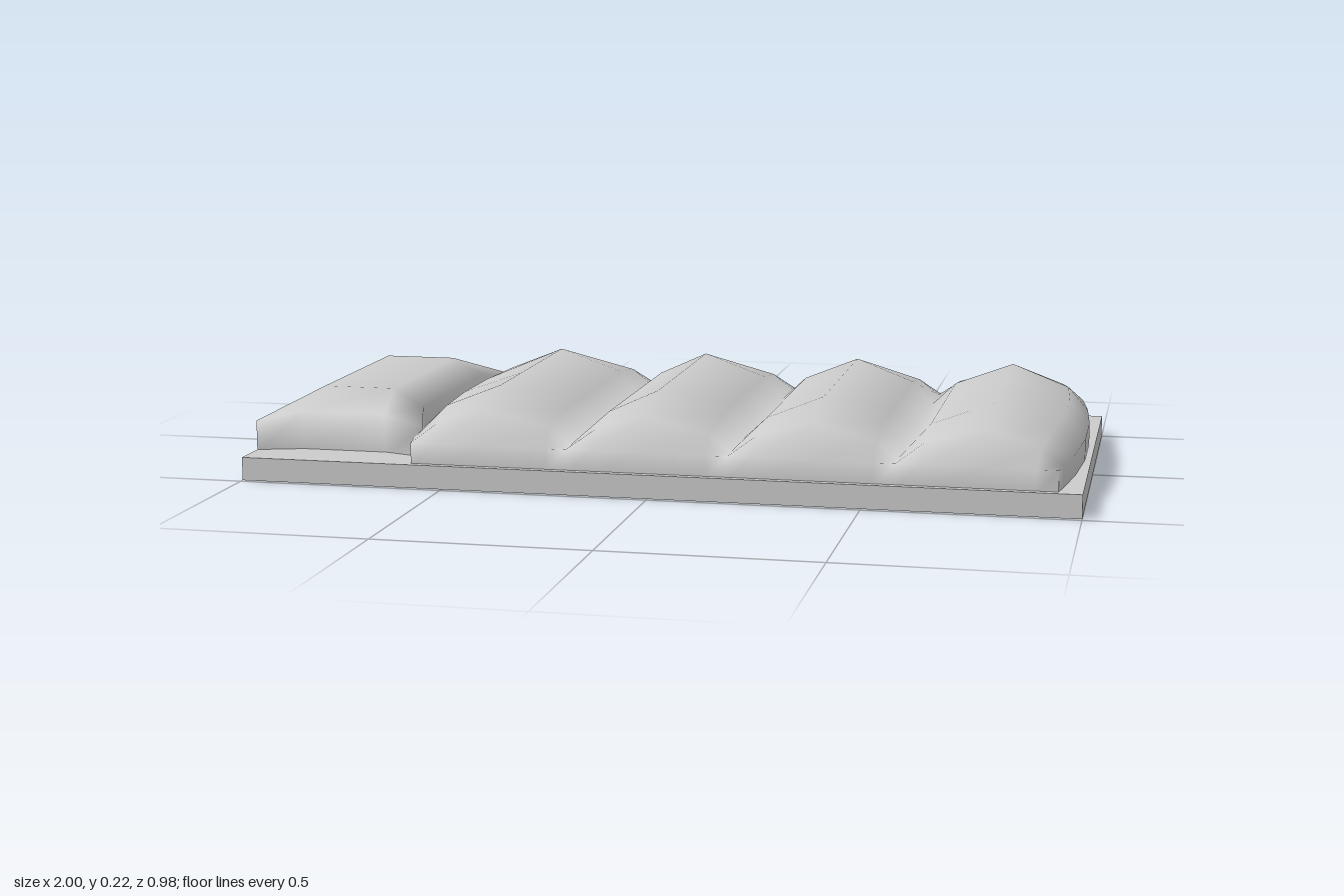
import * as THREE from 'three';

const material = new THREE.MeshStandardMaterial({ color: 0xcccccc, side: THREE.DoubleSide });
const FLOOR = 0.05;

// Smooth cushion: a grid of points point(i, j) with a skirt dropped to FLOOR.
// i runs along x, j runs along z.
function cushion(name, nx, nz, point) {
  const positions = [], index = [];
  const clamp = (v, n) => Math.min(Math.max(v, 0), n - 1);
  for (let i = -1; i <= nx; i++) {
    for (let j = -1; j <= nz; j++) {
      const ci = clamp(i, nx), cj = clamp(j, nz);
      const [x, y, z] = point(ci, cj);
      positions.push(x, ci === i && cj === j ? y : FLOOR, z);
    }
  }
  const w = nz + 2;
  for (let i = 0; i < nx + 1; i++) {
    for (let j = 0; j < nz + 1; j++) {
      const a = i * w + j, b = a + 1, c = a + w, d = c + 1;
      index.push(a, b, c, b, d, c);
    }
  }
  const geometry = new THREE.BufferGeometry();
  geometry.setAttribute('position', new THREE.Float32BufferAttribute(positions, 3));
  geometry.setIndex(index);
  geometry.computeVertexNormals();
  const mesh = new THREE.Mesh(geometry, material);
  mesh.name = name;
  return mesh;
}

// Shallow slab, open underneath
function createBase() {
  const geometry = new THREE.BoxGeometry(2, 0.056, 0.975);
  const faces = Array.from(geometry.index.array);
  faces.splice(18, 6);
  geometry.setIndex(faces);
  geometry.clearGroups();
  geometry.translate(0, 0.028, 0);
  const mesh = new THREE.Mesh(geometry, material);
  mesh.name = 'base';
  return mesh;
}

// Quilt with four padded ridges across the width, bowed at both ends
function createQuilt() {
  const valleys = [-0.58, -0.2, 0.185, 0.575, 0.945];
  const ridges = [-0.41, -0.02, 0.38, 0.78];
  const profile = [];
  ridges.forEach((r, k) => {
    const left = valleys[k], right = valleys[k + 1];
    profile.push([left, 0.108], [left + 0.06, 0.165], [r, 0.22], [right - 0.05, 0.165]);
  });
  profile.push([valleys[4], 0.108]);
  const half = 0.47;
  const rows = [-half, -0.43, -0.285, -0.1, 0.1, 0.285, 0.43, half];
  const fullness = [0, 0.7, 1, 1, 1, 1, 0.7, 0];
  const last = profile.length - 1;
  return cushion('quilt', profile.length, rows.length, (i, j) => {
    const [x, y] = profile[i];
    const z = rows[j];
    const bow = 0.042 * (1 - (z / half) ** 2);
    const pull = i <= 1 ? -1 : i >= last - 1 ? 1 : 0;
    return [x + pull * bow, 0.105 + (y - 0.105) * fullness[j], z];
  });
}

// Pillow with pointed corners and hollowed sides
function createPillow() {
  const cx = -0.7875;
  return cushion('pillow', 4, 4, (i, j) => {
    const sx = i < 2 ? -1 : 1, sz = j < 2 ? -1 : 1;
    const endX = i === 0 || i === 3, endZ = j === 0 || j === 3;
    if (endX && endZ) return [cx + sx * 0.2125, 0.128, sz * 0.39];
    if (endX) return [cx + sx * 0.168, 0.15, sz * 0.25];
    if (endZ) return [cx + sx * 0.105, 0.15, sz * 0.355];
    return [cx + sx * 0.09, 0.193, sz * 0.24];
  });
}

export function createModel() {
  const group = new THREE.Group();
  group.name = 'paddedBed';
  group.add(createBase(), createQuilt(), createPillow());
  return group;
}
